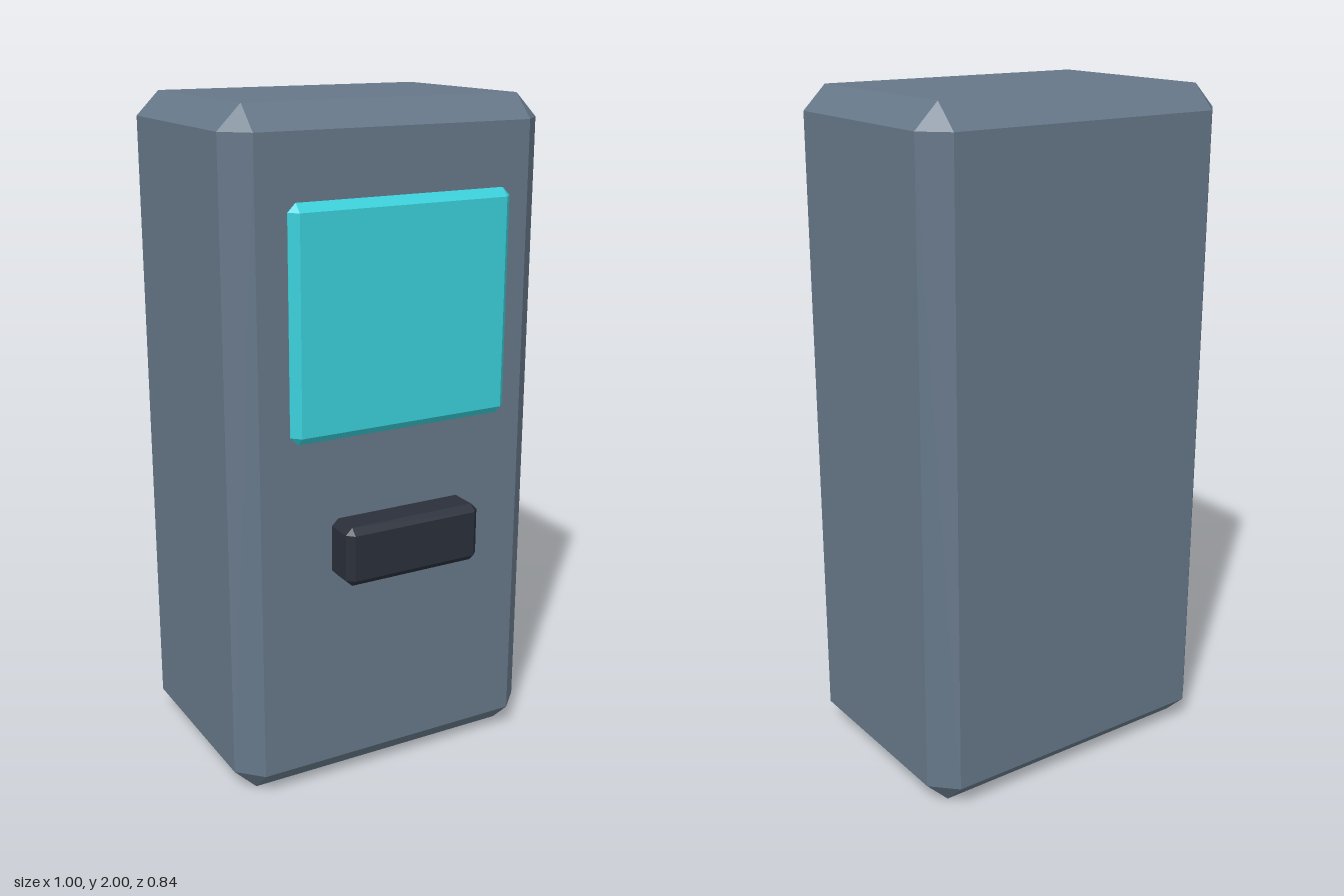
import * as THREE from 'three';
import { ConvexGeometry } from 'three/addons/geometries/ConvexGeometry.js';

// Box with every edge cut at 45 degrees and triangular corners
function chamferBox(name, [w, h, d], [x, y, z], bevel, color) {
  const points = [];
  for (const sx of [-1, 1]) for (const sy of [-1, 1]) for (const sz of [-1, 1]) {
    for (let full = 0; full < 3; full++) {
      const c = [w / 2, h / 2, d / 2].map((v, i) => (i === full ? v : v - bevel));
      points.push(new THREE.Vector3(sx * c[0], sy * c[1], sz * c[2]));
    }
  }
  const material = new THREE.MeshStandardMaterial({ color, flatShading: true });
  const mesh = new THREE.Mesh(new ConvexGeometry(points), material);
  mesh.name = name;
  mesh.position.set(x, y, z);
  return mesh;
}

export function createModel() {
  const group = new THREE.Group();
  group.name = 'kiosk';
  group.add(
    // Cabinet standing on the ground
    chamferBox('cabinet', [1, 2, 0.716], [0, 1, -0.062], 0.07, 0x667788),
    // Thin display panel on the front
    chamferBox('screen', [0.698, 0.66, 0.05], [0, 1.42, 0.322], 0.024, 0x3ad0da),
    // Dark dispenser block below the screen
    chamferBox('dispenserSlot', [0.436, 0.176, 0.122], [0, 0.762, 0.357], 0.02, 0x2a2f3a),
  );
  return group;
}
